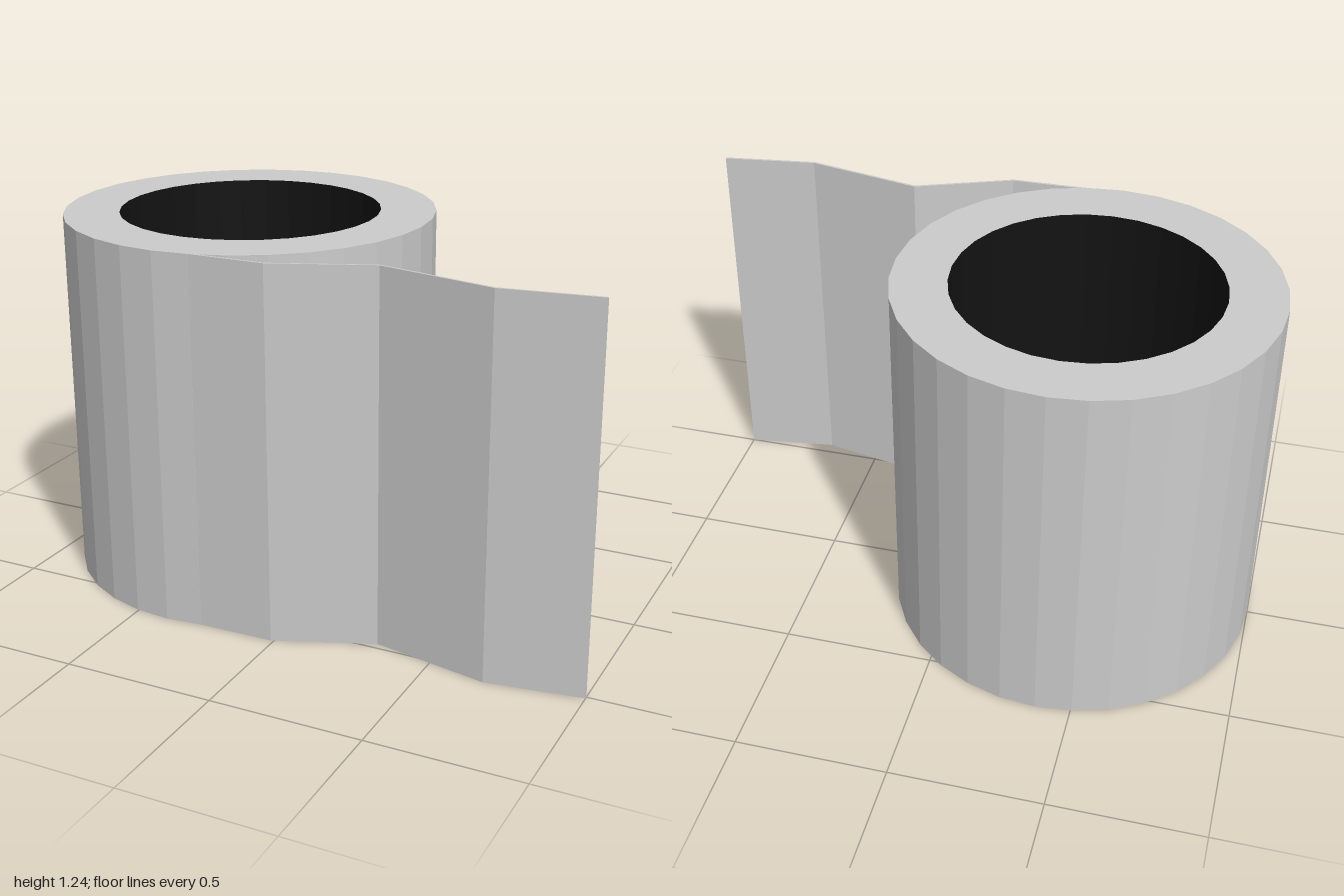
import * as THREE from 'three';

const HEIGHT = 1.235, OUTER = 0.616, INNER = 0.433, CENTRE_X = -0.384, SIDES = 32;

const paper = new THREE.MeshStandardMaterial({ color: 0xcccccc, flatShading: true });
const dark = new THREE.MeshStandardMaterial({ color: 0x131313, flatShading: true });

function lathe(name, points, material) {
  const profile = points.map(([r, y]) => new THREE.Vector2(r, y));
  const mesh = new THREE.Mesh(new THREE.LatheGeometry(profile, SIDES), material);
  mesh.name = name;
  mesh.position.x = CENTRE_X;
  return mesh;
}

export function createModel() {
  const model = new THREE.Group();
  model.name = 'paperRoll';

  // Wound paper: bottom ring, outer wall and top ring
  model.add(lathe('woundPaper', [[INNER, 0], [OUTER, 0], [OUTER, HEIGHT], [INNER, HEIGHT]], paper));

  // Dark core wall, facing the axis
  model.add(lathe('core', [[INNER, HEIGHT], [INNER, 0]], dark));

  // Loose sheet: a thin folded strip leaving the front of the roll, as [x, z]
  const path = [[-0.264, 0.604], [-0.01, 0.6], [0.305, 0.474], [0.69, 0.552], [1, 0.508]];
  const thickness = 0.008;
  const front = path.map(([x, z]) => new THREE.Vector2(x, -z));
  const back = path.map(([x, z]) => new THREE.Vector2(x, -z + thickness)).reverse();
  const geometry = new THREE.ExtrudeGeometry(new THREE.Shape([...front, ...back]), {
    depth: HEIGHT, bevelEnabled: false,
  });
  geometry.rotateX(-Math.PI / 2);
  const sheet = new THREE.Mesh(geometry, paper);
  sheet.name = 'looseSheet';
  model.add(sheet);

  return model;
}
